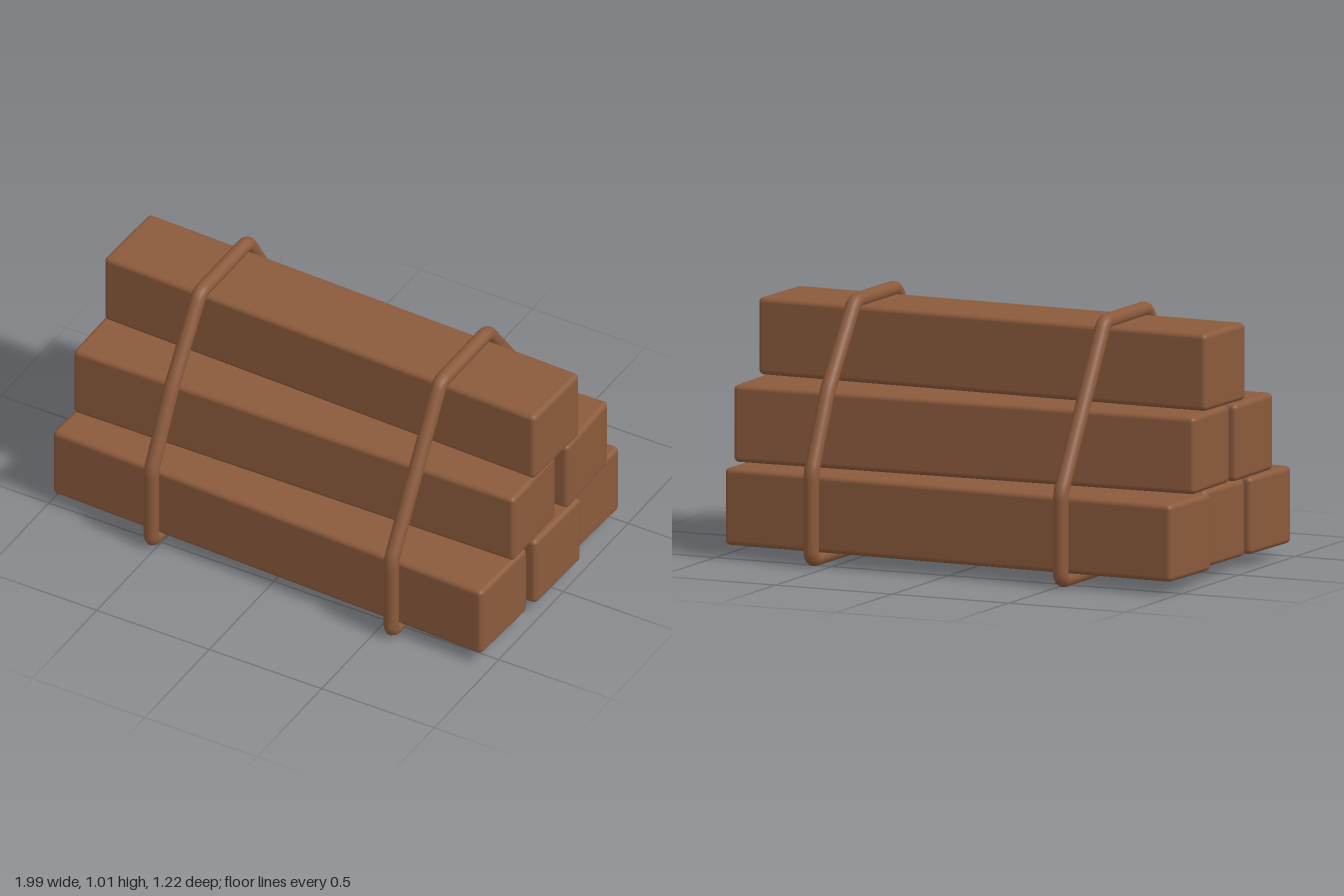
import * as THREE from 'three';
import { RoundedBoxGeometry } from 'three/addons/geometries/RoundedBoxGeometry.js';

// Closed loop of straight runs with small rounded corners, in the plane x = const
function roundedLoop(x, corners, cut) {
  const pts = corners.map(([z, y]) => new THREE.Vector3(x, y, z));
  const path = new THREE.CurvePath();
  const n = pts.length;
  const toward = (a, b) => a.clone().add(b.clone().sub(a).setLength(cut));
  for (let i = 0; i < n; i++) {
    const prev = pts[(i + n - 1) % n], p = pts[i], next = pts[(i + 1) % n];
    path.add(new THREE.QuadraticBezierCurve3(toward(p, prev), p, toward(p, next)));
    path.add(new THREE.LineCurve3(toward(p, next), toward(next, p)));
  }
  return path;
}

export function createModel() {
  const group = new THREE.Group();
  const wood = new THREE.MeshStandardMaterial({ color: 0x8b5a3c });
  wood.name = 'brown wood';

  // Stacked beams: name, centre x, centre y, z at the right-hand (-x) end, z at the left-hand (+x) end
  const beams = [
    ['bottomFrontBeam', -0.005, 0.205, 0.332, 0.402],
    ['bottomMiddleBeam', 0.015, 0.205, -0.035, 0.02],
    ['bottomBackBeam', -0.02, 0.205, -0.407, -0.337],
    ['middleFrontBeam', 0.0, 0.51, 0.195, 0.175],
    ['middleBackBeam', 0.01, 0.51, -0.16, -0.22],
    ['topBeam', 0.015, 0.815, -0.03, 0.03],
  ];
  const beamGeometry = new RoundedBoxGeometry(1.95, 0.302, 0.338, 3, 0.02);
  for (const [name, x, y, z0, z1] of beams) {
    const beam = new THREE.Mesh(beamGeometry, wood);
    beam.name = name;
    beam.position.set(x, y, (z0 + z1) / 2);
    beam.rotation.y = -Math.atan2(z1 - z0, 1.95);
    group.add(beam);
  }

  // Straps pulled tight round the stack: corners as [z, y]
  const straps = [
    ['leftStrap', 0.567, [[0.578, 0.031], [0.578, 0.37], [0.2, 0.985],
      [-0.165, 0.985], [-0.4, 0.672], [-0.545, 0.37], [-0.545, 0.031]]],
    ['rightStrap', -0.52, [[0.542, 0.031], [0.542, 0.37], [0.385, 0.672], [0.17, 0.985],
      [-0.2, 0.985], [-0.582, 0.37], [-0.582, 0.031]]],
  ];
  for (const [name, x, corners] of straps) {
    const tube = new THREE.TubeGeometry(roundedLoop(x, corners, 0.03), 300, 0.03, 14, true);
    const strap = new THREE.Mesh(tube, wood);
    strap.name = name;
    group.add(strap);
  }
  return group;
}
